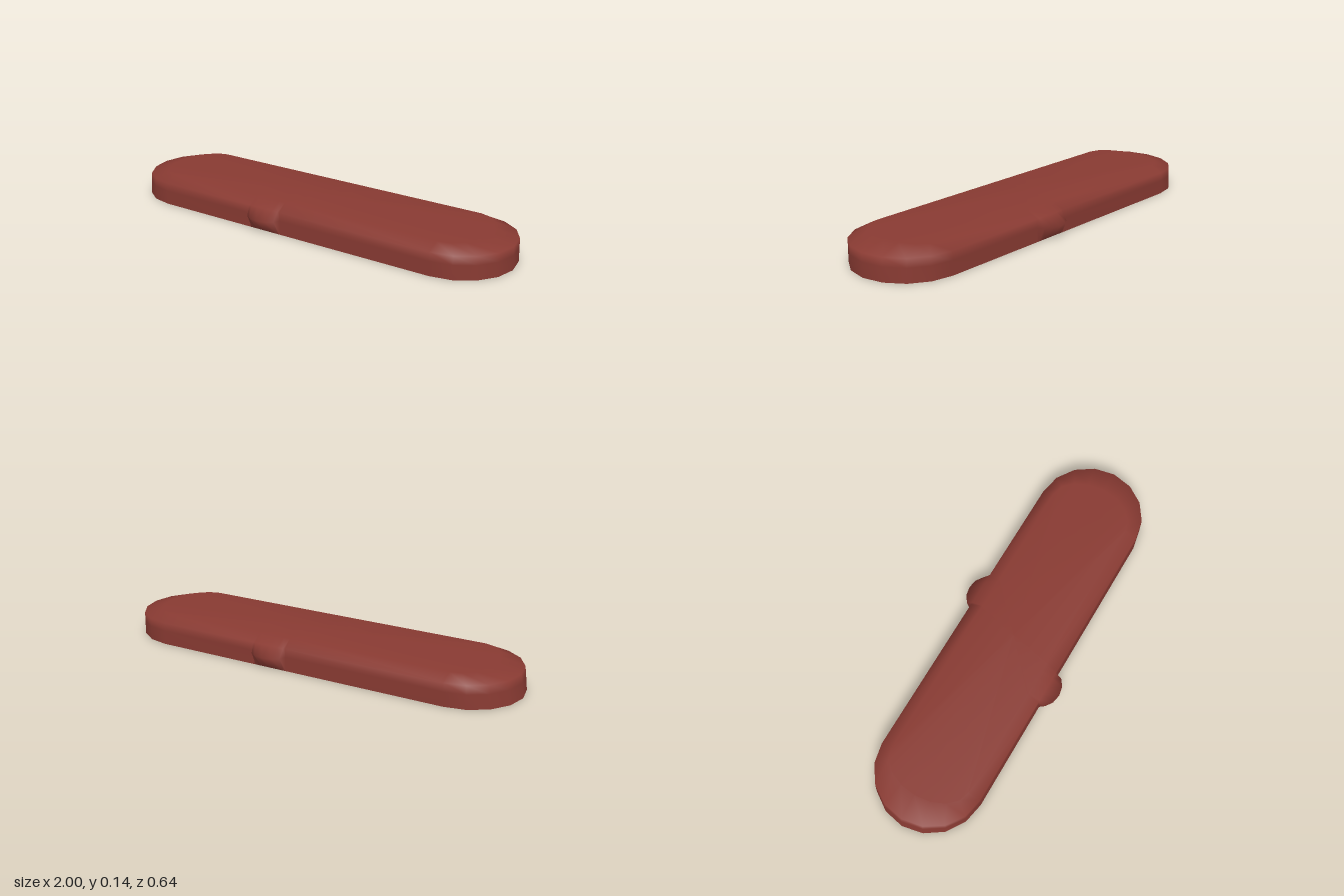
import * as THREE from 'three';

const END_X = 0.74;      // centre of each rounded end
const END_STEPS = 8;
const BUMP_STEPS = 6;

// One closed outline: rounded ends joined by straight sides, each with a half-round bump
function outline({ y, left, right, half, bump }) {
  const pts = [];
  for (const s of [1, -1]) {
    const reach = (s > 0 ? right : left) - END_X;
    for (let i = 0; i <= END_STEPS; i++) {
      const a = -Math.PI / 2 + (i / END_STEPS) * Math.PI;
      pts.push([s * (END_X + reach * Math.cos(a)), y, s * half * Math.sin(a)]);
    }
    for (let i = 0; i <= BUMP_STEPS; i++) {
      const a = (i / BUMP_STEPS) * Math.PI;
      pts.push([s * (-0.13 + 0.088 * Math.cos(a)), y, s * (half + bump * Math.sin(a))]);
    }
  }
  return pts;
}

export function createModel() {
  const red = new THREE.MeshStandardMaterial({ color: 0x883a32, side: THREE.DoubleSide });
  red.name = 'brick red';

  // Rings from the open bottom up to the bevelled top
  const rings = [
    { y: 0, left: 1, right: 1, half: 0.258, bump: 0 },
    { y: 0.067, left: 0.991, right: 0.999, half: 0.258, bump: 0.062 },
    { y: 0.108, left: 0.985, right: 0.998, half: 0.258, bump: 0 },
    { y: 0.137, left: 0.87, right: 0.88, half: 0.2, bump: 0 },
  ].map(outline);
  const n = rings[0].length;
  const position = rings.flat(2);
  position.push(0, 0.137, 0);

  const index = [];
  for (let j = 0; j < n; j++) {
    const k = (j + 1) % n;
    // Walls and bevel
    for (let r = 0; r < rings.length - 1; r++) {
      const lo = r * n, up = lo + n;
      index.push(lo + j, up + j, up + k, lo + j, up + k, lo + k);
    }
    // Flat top
    const top = (rings.length - 1) * n;
    index.push(rings.length * n, top + k, top + j);
  }

  const geometry = new THREE.BufferGeometry();
  geometry.setAttribute('position', new THREE.Float32BufferAttribute(position, 3));
  geometry.setIndex(index);
  geometry.computeVertexNormals();

  const shell = new THREE.Mesh(geometry, red);
  shell.name = 'coverShell';
  const group = new THREE.Group();
  group.name = 'roundedCover';
  group.add(shell);
  return group;
}
